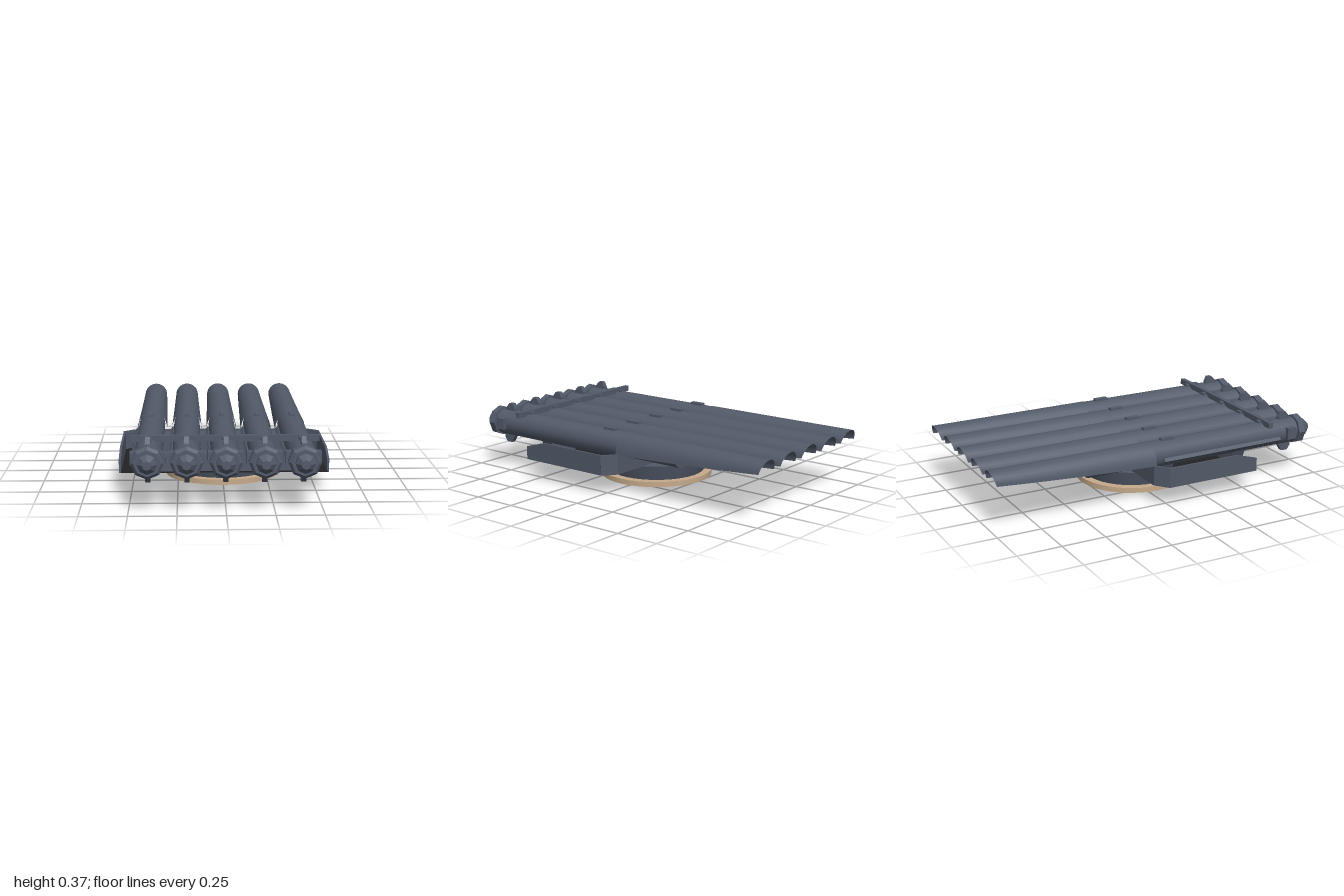
import * as THREE from 'three';

const steel = new THREE.MeshStandardMaterial({ color: 0x525a69, side: THREE.DoubleSide });
steel.name = 'steel grey';
const steelFlat = new THREE.MeshStandardMaterial({ color: 0x525a69, flatShading: true });
steelFlat.name = 'steel grey faceted';
const tan = new THREE.MeshStandardMaterial({ color: 0xc6aa8a });
tan.name = 'tan';
const dark = new THREE.MeshStandardMaterial({ color: 0x222222 });
dark.name = 'dark floor';

const AXIS_Y = 0.26; // height of the tube axes

function add(parent, name, geometry, material, x = 0, y = 0, z = 0) {
  const mesh = new THREE.Mesh(geometry, material);
  mesh.name = name;
  mesh.position.set(x, y, z);
  parent.add(mesh);
  return mesh;
}

// Box given by its limits
function box(parent, name, x0, x1, y0, y1, z0, z1, material = steelFlat) {
  return add(parent, name, new THREE.BoxGeometry(x1 - x0, y1 - y0, z1 - z0), material,
    (x0 + x1) / 2, (y0 + y1) / 2, (z0 + z1) / 2);
}

function shapeOf(points) {
  return new THREE.Shape(points.map(([a, b]) => new THREE.Vector2(a, b)));
}

// Side profile of (z, y) points, given thickness along x and centred on x = 0
function sideProfile(points, width) {
  const g = new THREE.ExtrudeGeometry(shapeOf(points), { depth: width, bevelEnabled: false });
  return g.translate(0, 0, -width / 2).rotateY(-Math.PI / 2);
}

// Front profile of (x, y) points from z0 to z1
function frontProfile(points, z0, z1) {
  const g = new THREE.ExtrudeGeometry(shapeOf(points), { depth: z1 - z0, bevelEnabled: false });
  return g.translate(0, 0, z0);
}

// Cylinder along z, with r1 at the front end
function zCylinder(r1, r0, z0, z1, sides) {
  return new THREE.CylinderGeometry(r1, r0, z1 - z0, sides)
    .rotateX(Math.PI / 2).translate(0, 0, (z0 + z1) / 2);
}

// Tapering half-shell, open underneath
function spoonGeometry() {
  const rows = 8, cols = 14, pos = [], index = [];
  for (let i = 0; i <= rows; i++) {
    const t = i / rows;
    const halfWidth = 0.0875 - 0.0175 * t;
    const bottom = 0.222 + 0.048 * t * t * 0.4 + 0.048 * t * 0.6;
    for (let j = 0; j <= cols; j++) {
      const a = Math.PI * j / cols;
      const z = -0.05 - (0.93 + 0.02 * Math.sin(a)) * t;
      pos.push(halfWidth * Math.cos(a), bottom + (0.337 - bottom) * Math.sin(a), z);
      if (i < rows && j < cols) {
        const p = i * (cols + 1) + j, q = p + cols + 1;
        index.push(p, p + 1, q, p + 1, q + 1, q);
      }
    }
  }
  const g = new THREE.BufferGeometry();
  g.setAttribute('position', new THREE.Float32BufferAttribute(pos, 3));
  g.setIndex(index);
  g.computeVertexNormals();
  return g;
}

function createTube() {
  const tube = new THREE.Group();
  tube.name = 'launchTube';
  add(tube, 'barrel', zCylinder(0.074, 0.074, -0.07, 0.89, 20), steel, 0, AXIS_Y, 0);
  add(tube, 'innerTube', zCylinder(0.062, 0.062, -0.44, -0.06, 16), steel, 0, AXIS_Y, 0);
  add(tube, 'spoon', spoonGeometry(), steel);

  // Octagonal breech cap and nose
  add(tube, 'capRing', zCylinder(0.086, 0.086, 0.895, 0.935, 8), steelFlat, 0, AXIS_Y, 0);
  add(tube, 'capFace', zCylinder(0.07, 0.086, 0.935, 0.95, 8), steelFlat, 0, AXIS_Y, 0);
  add(tube, 'noseBase', zCylinder(0.052, 0.052, 0.95, 0.97, 8), steelFlat, 0, AXIS_Y, 0);
  add(tube, 'noseTip', zCylinder(0.024, 0.052, 0.97, 1.0, 8), steelFlat, 0, AXIS_Y, 0);

  // Fins, side lugs and top brackets
  add(tube, 'topFin', sideProfile(
    [[0.795, 0.32], [0.87, 0.32], [0.865, 0.345], [0.838, 0.375], [0.81, 0.375], [0.795, 0.345]], 0.026), steelFlat);
  add(tube, 'bottomFin', sideProfile(
    [[0.785, 0.2], [0.825, 0.14], [0.86, 0.14], [0.88, 0.165], [0.88, 0.2]], 0.026), steelFlat);
  for (const s of [-1, 1]) {
    box(tube, 'sideLug', s * 0.072 - 0.02, s * 0.072 + 0.02, 0.232, 0.298, 0.81, 0.865);
  }
  box(tube, 'frontBracket', -0.015, 0.015, 0.32, 0.345, 0.655, 0.74);
  box(tube, 'rearBracket', -0.015, 0.015, 0.32, 0.345, 0.02, 0.1);

  // Wedge-shaped rail along one side
  add(tube, 'sideRail', frontProfile(
    [[-0.06, 0.215], [-0.06, 0.255], [-0.08, 0.255], [-0.094, 0.24]].reverse(), 0.0, 0.76), steelFlat);
  return tube;
}

function createPlatform() {
  const platform = new THREE.Group();
  platform.name = 'platform';
  const plan = [[-0.56, 0.55], [-0.56, -0.01], [-0.487, -0.065], [0.487, -0.065], [0.56, -0.01], [0.56, 0.55]];
  const floor = new THREE.ExtrudeGeometry(shapeOf(plan), { depth: 0.008, bevelEnabled: false }).rotateX(Math.PI / 2);
  add(platform, 'floor', floor, dark, 0, 0.123, 0);

  // Sloped side walls, chamfered corners and back wall
  const wall = [[-0.01, 0.115], [0.55, 0.115], [0.55, 0.19], [0.42, 0.228], [-0.01, 0.228]];
  const dx = 0.075, dz = 0.06;
  for (const s of [-1, 1]) {
    add(platform, 'sideWall', sideProfile(wall, 0.012), steelFlat, s * 0.559, 0, 0);
    const corner = add(platform, 'cornerWall',
      new THREE.BoxGeometry(Math.hypot(dx, dz), 0.113, 0.01), steelFlat, s * 0.525, 0.1715, -0.036);
    corner.rotation.y = -s * Math.atan2(dz, dx);
  }
  box(platform, 'backWall', -0.49, 0.49, 0.115, 0.228, -0.07, -0.06);

  // Saddle beams carrying the tubes
  const saddle = [[-0.41, 0.12], [0.41, 0.12], [0.45, 0.215], [-0.45, 0.215]];
  add(platform, 'frontSaddle', frontProfile(saddle, 0.47, 0.548), steelFlat);
  add(platform, 'rearSaddle', frontProfile(saddle, -0.06, 0.08), steelFlat);
  return platform;
}

function createPedestal() {
  const pedestal = new THREE.Group();
  pedestal.name = 'pedestal';
  pedestal.position.z = 0.053;
  add(pedestal, 'turntable', new THREE.CylinderGeometry(0.3, 0.275, 0.086, 40), steel, 0, 0.072, 0);
  add(pedestal, 'baseRing', new THREE.CylinderGeometry(0.32, 0.32, 0.029, 40), tan, 0, 0.0165, 0);
  add(pedestal, 'undersideRing', new THREE.RingGeometry(0.27, 0.312, 40).rotateX(Math.PI / 2), steel, 0, 0.0005, 0);
  return pedestal;
}

export function createModel() {
  const model = new THREE.Group();
  model.name = 'tubeLauncher';
  model.add(createPedestal(), createPlatform());
  for (let i = -2; i <= 2; i++) {
    const tube = createTube();
    tube.position.x = i * 0.2;
    model.add(tube);
  }
  box(model, 'crossBar', -0.49, 0.494, 0.32, 0.352, 0.677, 0.705);
  box(model, 'rearBox', -0.13, 0.13, 0.113, 0.16, -0.205, -0.09);
  return model;
}
